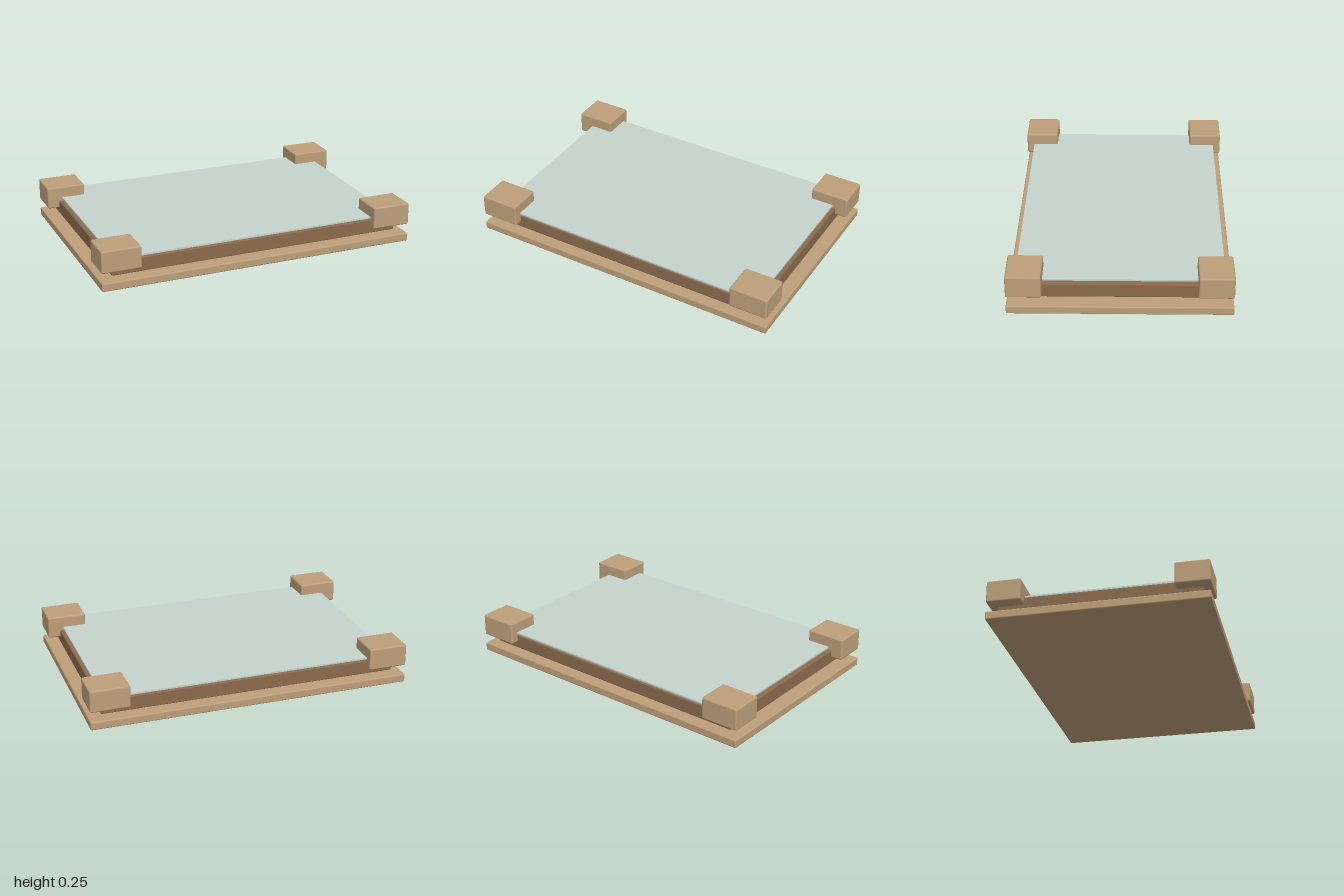
import * as THREE from 'three';
import { RoundedBoxGeometry } from 'three/addons/geometries/RoundedBoxGeometry.js';

const material = (name, color) => {
  const m = new THREE.MeshStandardMaterial({ color });
  m.name = name;
  return m;
};

export function createModel() {
  const model = new THREE.Group();
  model.name = 'glassTopTable';
  const lightWood = material('lightWood', 0xbd9f7a);
  const darkWood = material('darkWood', 0x8b6b4d);
  const glass = material('paleGlass', 0xc6d4cd);

  // Box with softened edges, given by its minimum and maximum corners
  const block = (name, mat, min, max, radius) => {
    const size = max.map((v, i) => v - min[i]);
    const mesh = new THREE.Mesh(new RoundedBoxGeometry(...size, 2, radius), mat);
    mesh.position.set(...max.map((v, i) => (v + min[i]) / 2));
    mesh.name = name;
    model.add(mesh);
  };

  // Bottom board
  block('baseBoard', lightWood, [-1, 0, -0.66], [1, 0.052, 0.66], 0.008);

  // Rails: long ones at front and back, short ones fitted between them
  for (const s of [-1, 1]) {
    const z = s * 0.565, x = s * 0.88;
    block(s > 0 ? 'frontRail' : 'backRail', darkWood,
      [-0.925, 0.07, z - 0.044], [0.925, 0.158, z + 0.044], 0.006);
    block(s > 0 ? 'leftRail' : 'rightRail', darkWood,
      [x - 0.045, 0.07, -0.521], [x + 0.045, 0.158, 0.521], 0.006);
  }

  // Corner blocks
  for (const sx of [-1, 1]) for (const sz of [-1, 1]) {
    const x = sx * 0.878, z = sz * 0.556;
    block(`${sz > 0 ? 'front' : 'back'}${sx > 0 ? 'Left' : 'Right'}Corner`, lightWood,
      [x - 0.122, 0.112, z - 0.104], [x + 0.122, 0.25, z + 0.104], 0.01);
  }

  // Glass pane held between the corner blocks
  const pane = new THREE.Mesh(new THREE.BoxGeometry(1.81, 0.01, 1.225), glass);
  pane.position.y = 0.174;
  pane.name = 'glassPane';
  model.add(pane);

  return model;
}
